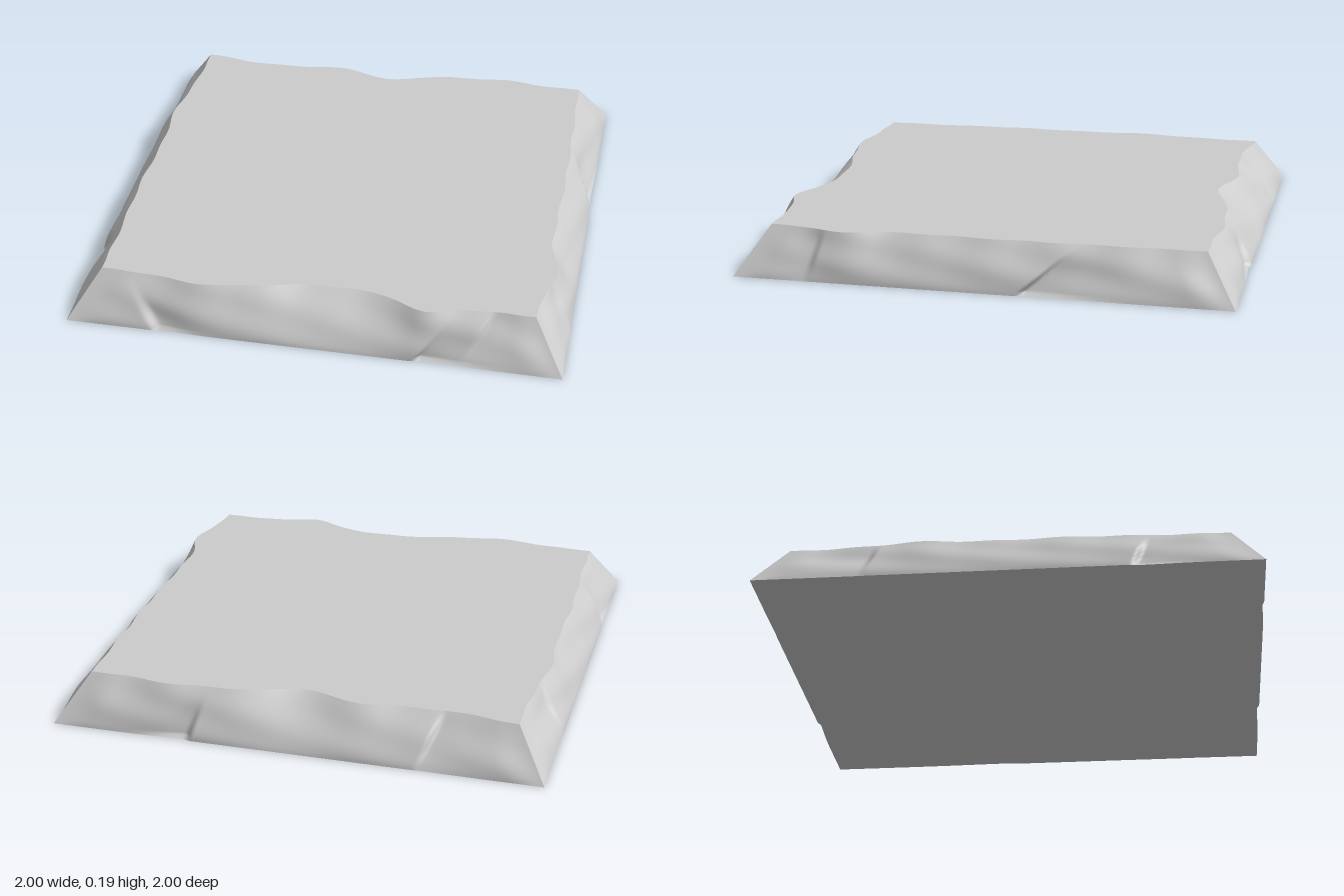
import * as THREE from 'three';

const HEIGHT = 0.19, CORNER = 0.875, NU = 200, NV = 20;
const { lerp, smoothstep } = THREE.MathUtils;
const bell = (x, width) => Math.exp(-((x / width) ** 2));

// Each face is described along its length, left to right seen from outside.
// waves: swells and bites of the top edge [centre, width, outward shift]
// chips: broken stone [foot, lean with height, direction, depth, length, height centre]
const SIDES = [
  { name: 'frontFace',
    waves: [[-0.46, 0.2, 0.035], [0.08, 0.25, -0.05], [0.45, 0.1, 0.055]],
    chips: [[-0.64, -0.14, 1, 0.022, 0.14, 0.2], [0.4, 0.15, 1, 0.025, 0.25, 0.1], [0.58, 0.12, 1, 0.02, 0.2, 0.75]] },
  { name: 'rightFace',
    waves: [[-0.58, 0.14, 0.05], [0.1, 0.5, 0.015]],
    chips: [[0.14, 0.22, 1, 0.032, 0.28, 0.25], [-0.68, 0.05, -1, 0.02, 0.12, 0.6]] },
  { name: 'backFace',
    waves: [[-0.52, 0.15, 0.022], [0, 0.14, -0.07], [0.55, 0.25, -0.035]],
    chips: [[-0.42, 0.06, -1, 0.03, 0.16, 0.15], [0.48, 0.08, 1, 0.03, 0.12, 0.6]] },
  { name: 'leftFace',
    waves: [[-0.35, 0.2, 0.03], [0.2, 0.35, 0.02]],
    chips: [[0.48, 0.06, 1, 0.028, 0.16, 0.3], [-0.55, 0.05, -1, 0.022, 0.25, 0.65]] },
];

// Depth of the broken-off stone: sharp on one edge, fading on the other
function chipDepth(chips, a, v) {
  let total = 0;
  for (const [foot, lean, direction, depth, length, height] of chips) {
    const s = direction * (a - foot - lean * v);
    if (s > 0) total += depth * smoothstep(s, 0, 0.03) * bell(s, length) * bell(v - height, 0.42);
  }
  return total;
}

// One sloping face, plus its foot and rim lines for the caps
function buildSide({ waves, chips }, turn) {
  const positions = [], index = [], foot = [], top = [];
  // Quarter turns from the face's own frame to model x, z
  const place = (a, out) => [[a, out], [out, -a], [-a, -out], [-out, a]][turn];
  for (let j = 0; j <= NV; j++) {
    const v = j / NV;
    for (let i = 0; i <= NU; i++) {
      const t = (2 * i) / NU - 1;
      const a = t * lerp(1, CORNER, v);
      const fade = smoothstep(1 - Math.abs(t), 0, 0.16);
      // Wavy top edge
      let rim = 0.004 * Math.sin(23 * a + turn);
      for (const [centre, width, shift] of waves) rim += shift * bell(a - centre, width);
      rim = CORNER + rim * fade;
      // Straight at the corners, rounded shoulder and chips between them
      const slope = (1 - rim) * v ** (1 + 0.45 * fade);
      const ripple = 0.004 * Math.sin(9 * a + 7 * v + turn) * Math.sin(Math.PI * v);
      const cut = chipDepth(chips, a, v) * (1 - v ** 6) * (j ? 1 : 0.35) + ripple;
      const [x, z] = place(a, Math.min(1, 1 - slope - cut * fade));
      positions.push(x, v * HEIGHT, z);
      if (i === NU) continue;
      if (j === 0) foot.push(new THREE.Vector2(x, z));
      if (j === NV) {
        top.push(new THREE.Vector2(x, -z));
      } else {
        const k = j * (NU + 1) + i, up = k + NU + 1;
        index.push(k, k + 1, up + 1, k, up + 1, up);
      }
    }
  }
  const geometry = new THREE.BufferGeometry();
  geometry.setAttribute('position', new THREE.Float32BufferAttribute(positions, 3));
  geometry.setIndex(index);
  geometry.computeVertexNormals();
  return { geometry, foot, top };
}

export function createModel() {
  const group = new THREE.Group();
  group.name = 'stoneSlab';
  const material = new THREE.MeshStandardMaterial({ color: 0xcccccc });
  const add = (name, geometry) => {
    const mesh = new THREE.Mesh(geometry, material);
    mesh.name = name;
    group.add(mesh);
  };

  // Four worn, chipped faces
  const foot = [], top = [];
  SIDES.forEach((side, turn) => {
    const built = buildSide(side, turn);
    add(side.name, built.geometry);
    foot.push(...built.foot);
    top.push(...built.top);
  });

  // Flat top and underside following the worn outlines
  add('topSurface', new THREE.ShapeGeometry(new THREE.Shape(top)).rotateX(-Math.PI / 2).translate(0, HEIGHT, 0));
  add('underside', new THREE.ShapeGeometry(new THREE.Shape(foot)).rotateX(Math.PI / 2));
  return group;
}
